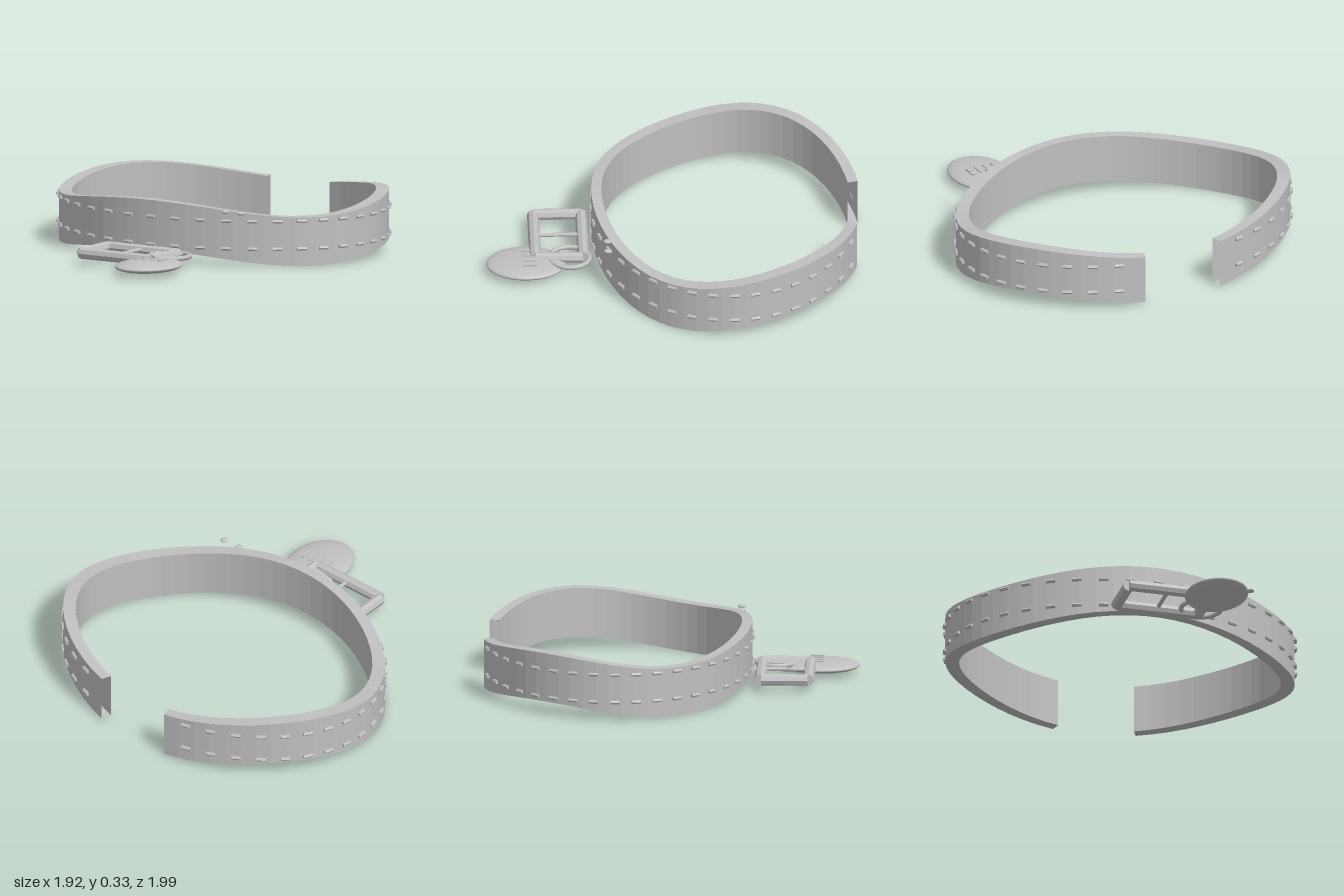
import * as THREE from 'three';

const RX = 0.945, RZ = 0.72, CZ = -0.29;   // outer ellipse of the band
const RAD = Math.PI / 180;

// Curved strap, open at the back, with a three-wave rise and fall
function bandGeometry() {
  const start = -169 * RAD, end = 163.4 * RAD, n = 60, pos = [];
  const section = t => {
    const s = Math.sin(t), c = Math.cos(t), w = 0.035 * Math.cos(3 * t);
    const at = (rx, rz, y) => [rx * s, y + w, CZ + rz * c];
    return [at(RX, RZ, 0.037), at(RX, RZ, 0.3), at(0.87, 0.665, 0.3), at(0.87, 0.665, 0.037)];
  };
  for (let i = 0; i < n; i++) {
    const p = section(start + (end - start) * i / n);
    const q = section(start + (end - start) * (i + 1) / n);
    for (let j = 0; j < 4; j++) {
      const k = (j + 1) % 4;
      pos.push(...p[j], ...q[j], ...q[k], ...p[j], ...q[k], ...p[k]);
    }
  }
  const g = new THREE.BufferGeometry();
  g.setAttribute('position', new THREE.Float32BufferAttribute(pos, 3));
  g.computeVertexNormals();
  return g;
}

// Faceted rod lying along x
function rodGeometry(radius, length, sides) {
  const g = new THREE.CylinderGeometry(radius, radius, length, sides).toNonIndexed();
  g.rotateZ(Math.PI / 2);
  g.computeVertexNormals();
  return g;
}

export function createModel() {
  const model = new THREE.Group();
  const grey = new THREE.MeshStandardMaterial({ color: 0xc0c0c0, side: THREE.DoubleSide });
  grey.name = 'grey';
  const add = (parent, name, geometry, x = 0, y = 0, z = 0, turn = 0) => {
    const mesh = new THREE.Mesh(geometry, grey);
    mesh.name = name;
    mesh.position.set(x, y, z);
    mesh.rotation.y = turn;
    parent.add(mesh);
    return mesh;
  };
  const group = name => {
    const g = new THREE.Group();
    g.name = name;
    model.add(g);
    return g;
  };

  add(model, 'band', bandGeometry());

  // Two level rows of stitches around the outside
  const stitches = group('stitches');
  const stitch = rodGeometry(0.01, 0.05, 6);
  for (const y of [0.098, 0.247]) {
    for (let i = -18; i <= 17; i++) {
      const t = (1.2 + 9 * i) * RAD, s = Math.sin(t), c = Math.cos(t);
      add(stitches, 'stitch', stitch, (RX + 0.004) * s, y, CZ + (RZ + 0.004) * c,
        Math.atan2(RZ * s, RX * c));
    }
  }

  // Buckle: four frame rods and a centre prong
  const buckle = group('buckle');
  const longRod = rodGeometry(0.031, 0.45, 8), shortRod = rodGeometry(0.031, 0.25, 8);
  for (const side of [-1, 1]) {
    add(buckle, 'frameLongRod', longRod, 0, 0.067, 0.607 + side * 0.128);
    add(buckle, 'frameShortRod', shortRod, side * 0.225, 0.067, 0.607, Math.PI / 2);
  }
  add(buckle, 'prong', rodGeometry(0.011, 0.28, 8), 0, 0.075, 0.59, Math.PI / 2);

  // Flat ring linking buckle and tag
  const ring = new THREE.TorusGeometry(0.107, 0.013, 10, 32);
  ring.rotateX(Math.PI / 2);
  add(model, 'ring', ring, 0.222, 0.067, 0.552);

  // Flattened oval tag with four raised marks
  const tag = group('tag');
  add(tag, 'tagDisc', new THREE.SphereGeometry(1, 32, 20).scale(0.167, 0.033, 0.212), 0.245, 0.047, 0.785);
  for (let i = 0; i < 4; i++) {
    add(tag, 'tagMark', new THREE.BoxGeometry(0.013, 0.015, 0.072), 0.17 + i * 0.05, 0.077, 0.767);
  }

  // Two small studs near the front rim
  for (const x of [0.447, 0.547]) {
    add(model, 'stud', new THREE.SphereGeometry(0.02, 14, 10).scale(1, 0.45, 1.1), x, 0.298, 0.357);
  }
  return model;
}
